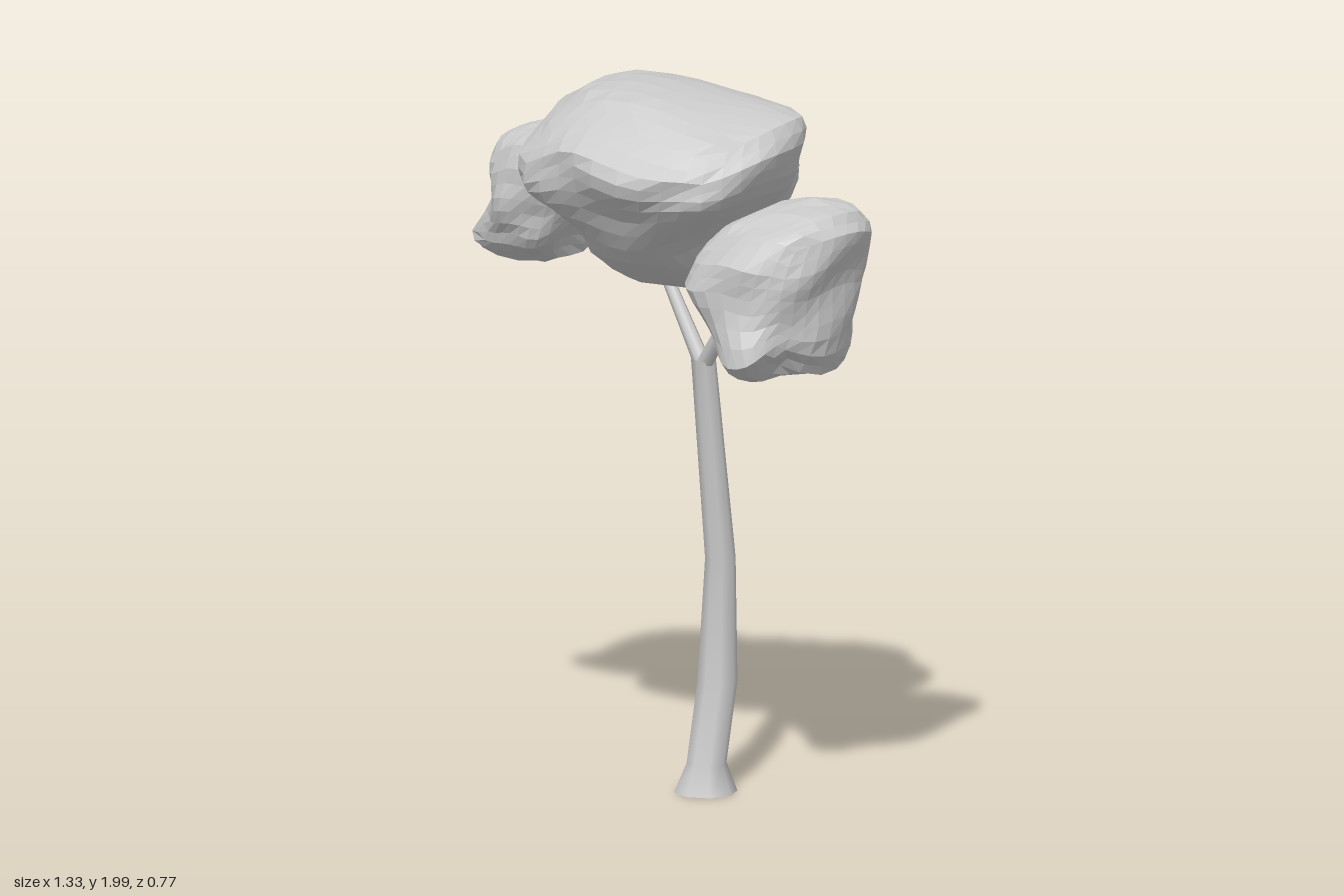
import * as THREE from 'three';
import { mergeVertices } from 'three/addons/utils/BufferGeometryUtils.js';

const bark = new THREE.MeshStandardMaterial({ color: 0xcccccc, side: THREE.DoubleSide });
const leaf = new THREE.MeshStandardMaterial({ color: 0xcccccc, flatShading: true });

// Tapered limb between two points
function limb(name, a, b, r0, r1) {
  const from = new THREE.Vector3(...a), to = new THREE.Vector3(...b);
  const dir = to.clone().sub(from);
  const mesh = new THREE.Mesh(new THREE.CylinderGeometry(r1, r0, dir.length(), 8), bark);
  mesh.position.copy(from).addScaledVector(dir, 0.5);
  mesh.quaternion.setFromUnitVectors(new THREE.Vector3(0, 1, 0), dir.normalize());
  mesh.name = name;
  return mesh;
}

// Bent trunk: each ring is [y, z, radius]
function trunk() {
  const rings = [[0, -0.11, 0.087], [0.08, -0.114, 0.055], [0.3, -0.164, 0.055],
    [0.64, -0.177, 0.042], [1.21, -0.1, 0.034]];
  const n = rings.length - 1;
  let geo = new THREE.CylinderGeometry(1, 1, n, 8, n, true);
  const p = geo.attributes.position;
  for (let i = 0; i < p.count; i++) {
    const [y, z, r] = rings[Math.round(p.getY(i) + n / 2)];
    p.setXYZ(i, 0.08 + p.getX(i) * r, y, z + p.getZ(i) * r);
  }
  // Weld the seam for smooth shading all round
  geo.deleteAttribute('uv');
  geo.deleteAttribute('normal');
  geo = mergeVertices(geo);
  geo.computeVertexNormals();
  const mesh = new THREE.Mesh(geo, bark);
  mesh.name = 'trunk';
  return mesh;
}

// Leaf clump: a quad sphere fitted to layers [y, x0, x1, z0, z1] from bottom to top.
// skew slides x along z; pulls are soft tugs [x, y, z, reach, dx, dy, dz];
// dents are balls [x, y, z, r] pressed into the side facing the branches.
function clump(name, layers, { seg, lump, seed, skew = 0, pulls = [], dents = [] }) {
  const geo = new THREE.BoxGeometry(2, 2, 2, seg, seg, seg);
  const p = geo.attributes.position;
  const v = new THREE.Vector3(), last = layers.length - 1;
  const at = (t, k) => {
    const f = Math.min(t * last, last - 1e-6), i = Math.floor(f), s = f - i;
    return layers[i][k] * (1 - s) + layers[i + 1][k] * s;
  };
  const square = c => Math.sign(c) * Math.pow(Math.abs(c), 0.88);
  for (let i = 0; i < p.count; i++) {
    // Even out the cube grid before projecting it onto the sphere
    v.fromBufferAttribute(p, i);
    v.set(...v.toArray().map(c => Math.tan(c * Math.PI / 4))).normalize();
    const t = Math.acos(THREE.MathUtils.clamp(-v.y, -1, 1)) / Math.PI;
    const h = Math.hypot(v.x, v.z) || 1;
    const [y, x0, x1, z0, z1] = [0, 1, 2, 3, 4].map(k => at(t, k));
    const w = 1 + lump * Math.sin(5 * v.x + seed) * Math.sin(4 * v.z + 6 * v.y + seed * 2);
    const bump = 0.3 * lump * Math.sin(6 * v.x + seed * 3) * Math.cos(5 * v.z + seed);
    const z = (z0 + z1) / 2 + square(v.z / h) * w * (z1 - z0) / 2;
    v.set((x0 + x1) / 2 + square(v.x / h) * w * (x1 - x0) / 2 + skew * z, y + bump * h, z);
    for (const [px, py, pz, reach, dx, dy, dz] of pulls) {
      const d = v.distanceTo(new THREE.Vector3(px, py, pz)) / reach;
      v.addScaledVector(new THREE.Vector3(dx, dy, dz), Math.exp(-2 * d * d));
    }
    for (const [cx, cy, cz, r] of dents) {
      const c = new THREE.Vector3(cx, cy, cz), d = v.clone().sub(c);
      if (d.length() < r) v.copy(c).add(d.setLength(r));
    }
    p.setXYZ(i, v.x, v.y, v.z);
  }
  geo.computeVertexNormals();
  const mesh = new THREE.Mesh(geo, leaf);
  mesh.name = name;
  return mesh;
}

export function createModel() {
  const tree = new THREE.Group();
  tree.name = 'tree';
  tree.add(trunk());

  // Branches
  const top = [0.08, 1.19, -0.1], fork = [-0.06, 1.41, -0.125], tip = [-0.16, 1.5, -0.16];
  tree.add(
    limb('leftBranch', top, [0.31, 1.51, -0.03], 0.024, 0.016),
    limb('rightBranch', top, fork, 0.024, 0.017),
    limb('middleBranch', fork, [0.02, 1.52, -0.135], 0.023, 0.02),
    limb('rightOuterBranch', fork, tip, 0.014, 0.01),
    limb('rightOuterBranchEnd', tip, [-0.33, 1.61, -0.22], 0.01, 0.008),
    limb('twig', [-0.2, 1.525, -0.175], [-0.26, 1.585, -0.25], 0.009, 0.008));

  // Foliage
  tree.add(
    clump('mainFoliage', [
      [1.425, 0.07, 0.07, -0.05, -0.05], [1.44, -0.07, 0.18, -0.17, 0.09],
      [1.53, -0.2, 0.24, -0.25, 0.2], [1.65, -0.26, 0.33, -0.37, 0.31],
      [1.76, -0.285, 0.41, -0.39, 0.37], [1.85, -0.295, 0.435, -0.36, 0.385],
      [1.92, -0.3, 0.42, -0.27, 0.27], [1.975, -0.2, 0.14, -0.17, 0.18],
      [2, -0.03, -0.03, 0, 0]],
    { seg: 9, lump: 0.05, seed: 1.3, skew: 0.1, pulls: [
      [0.3, 1.87, 0.32, 0.22, 0, -0.04, 0], [-0.22, 1.82, 0.27, 0.2, -0.06, -0.05, 0.05],
      [0.34, 1.8, -0.27, 0.16, -0.03, 0, 0.03]] }),
    clump('rightFoliage', [
      [1.4, -0.5, -0.5, -0.16, -0.16], [1.41, -0.58, -0.42, -0.28, -0.06],
      [1.46, -0.6, -0.38, -0.32, 0.02], [1.53, -0.6, -0.33, -0.35, 0.05],
      [1.61, -0.6, -0.29, -0.37, 0.07], [1.69, -0.605, -0.265, -0.37, 0.07],
      [1.75, -0.58, -0.28, -0.33, 0.04], [1.785, -0.5, -0.33, -0.26, -0.04],
      [1.8, -0.42, -0.42, -0.15, -0.15]],
    { seg: 8, lump: 0.05, seed: 2.6, pulls: [[-0.6, 1.45, -0.06, 0.11, -0.09, 0, 0.01]],
      dents: [[-0.2, 1.37, -0.14, 0.23]] }),
    clump('leftFoliage', [
      [1.26, 0.52, 0.52, 0.06, 0.06], [1.265, 0.44, 0.59, -0.1, 0.2],
      [1.32, 0.37, 0.62, -0.15, 0.3], [1.41, 0.26, 0.625, -0.18, 0.28],
      [1.5, 0.2, 0.63, -0.19, 0.28], [1.58, 0.24, 0.645, -0.185, 0.27],
      [1.66, 0.31, 0.655, -0.16, 0.21], [1.71, 0.4, 0.62, -0.13, 0.08],
      [1.72, 0.5, 0.5, -0.04, -0.04]],
    { seg: 8, lump: 0.04, seed: 0.7, pulls: [
      [0.62, 1.6, -0.16, 0.14, 0.03, 0, -0.03], [0.44, 1.27, 0.24, 0.12, 0, -0.02, 0.02],
      [0.6, 1.29, 0.2, 0.12, -0.04, 0.02, -0.02]],
      dents: [[0.18, 1.38, -0.22, 0.34]] }));
  return tree;
}
